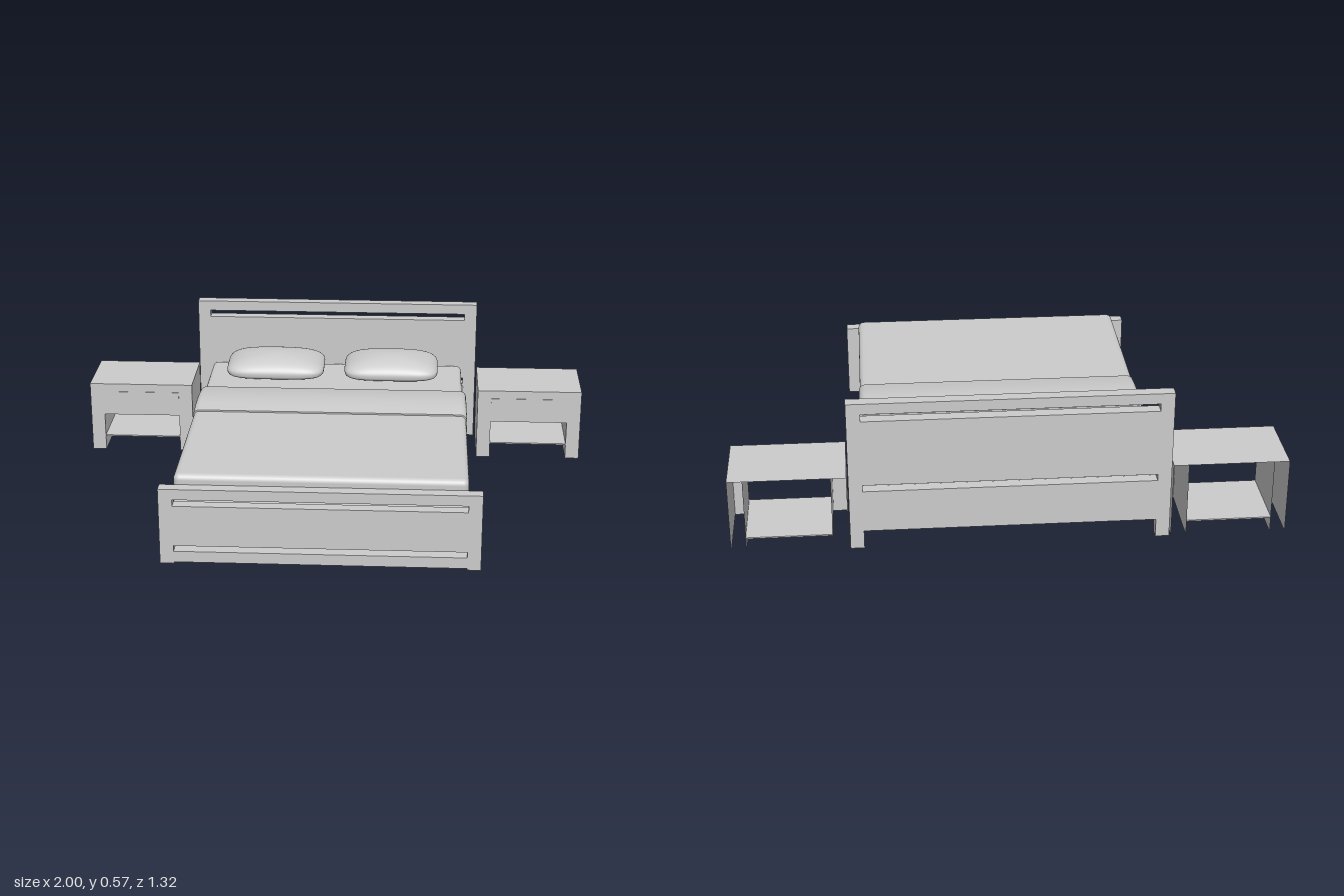
import * as THREE from 'three';
import { mergeVertices, toCreasedNormals } from 'three/addons/utils/BufferGeometryUtils.js';
import { RoundedBoxGeometry } from 'three/addons/geometries/RoundedBoxGeometry.js';

const material = new THREE.MeshStandardMaterial({ color: 0xcccccc });
const sheetMaterial = new THREE.MeshStandardMaterial({ color: 0xcccccc, side: THREE.DoubleSide });

function add(parent, name, geometry, mat = material) {
  const mesh = new THREE.Mesh(geometry, mat);
  mesh.name = name;
  parent.add(mesh);
  return mesh;
}

// Box given by its lower and upper limits on each axis, with optional rounding
function box(parent, name, [x0, x1], [y0, y1], [z0, z1], radius = 0) {
  const size = [x1 - x0, y1 - y0, z1 - z0];
  const geometry = radius
    ? new RoundedBoxGeometry(...size, 5, radius)
    : new THREE.BoxGeometry(...size);
  const mesh = add(parent, name, geometry);
  mesh.position.set((x0 + x1) / 2, (y0 + y1) / 2, (z0 + z1) / 2);
  return mesh;
}

// End board: two posts with horizontal boards separated by open slots
function endBoard(name, height, boards, z0, z1) {
  const group = new THREE.Group();
  group.name = name;
  box(group, 'leftPost', [0.525, 0.575], [0, height], [z0, z1]);
  box(group, 'rightPost', [-0.575, -0.525], [0, height], [z0, z1]);
  for (const [y0, y1, proud = 0] of boards) {
    box(group, 'board', [-0.525, 0.525], [y0, y1], [z0 - proud, z1]);
  }
  return group;
}

// Folded blanket band: rounded section run along z, with a gently arched top
function foldGeometry() {
  const w = 0.53, bottom = 0.222, top = 0.332, r = 0.03;
  const shape = new THREE.Shape();
  shape.moveTo(-w, bottom);
  shape.lineTo(w, bottom);
  shape.lineTo(w, top - r);
  shape.quadraticCurveTo(w, top, w - r, top);
  shape.lineTo(-w + r, top);
  shape.quadraticCurveTo(-w, top, -w, top - r);
  const length = 0.256;
  const geometry = new THREE.ExtrudeGeometry(shape, {
    depth: length, steps: 14, curveSegments: 8, bevelEnabled: false,
  });
  const p = geometry.attributes.position;
  for (let i = 0; i < p.count; i++) {
    const lift = 0.013 * Math.sin(Math.PI * p.getZ(i) / length);
    p.setY(i, p.getY(i) + lift * (p.getY(i) - bottom) / (top - bottom));
  }
  geometry.translate(0, 0, -length - 0.003);
  return toCreasedNormals(geometry, 0.7);
}

// Pillow: a sphere pushed out to a plump rounded rectangle, flatter underneath
function pillowGeometry(halfX, halfZ) {
  let geometry = new THREE.SphereGeometry(1, 64, 32);
  geometry.deleteAttribute('uv');
  geometry.deleteAttribute('normal');
  geometry = mergeVertices(geometry, 1e-5);
  const p = geometry.attributes.position;
  for (let i = 0; i < p.count; i++) {
    const x = p.getX(i), y = p.getY(i), z = p.getZ(i);
    const r = Math.hypot(x, z);
    const c = r > 1e-6 ? x / r : 1, s = r > 1e-6 ? z / r : 0;
    const square = Math.pow(Math.abs(c) ** 5 + Math.abs(s) ** 5, -0.2);
    const stretch = 1 + (square - 1) * r;
    const px = x * stretch * halfX, pz = z * stretch * halfZ;
    const py = y > 0 ? y * 0.056 : -0.036 * Math.pow(-y, 0.6);
    p.setXYZ(i, px, py - 0.04 * pz, pz);
  }
  geometry.computeVertexNormals();
  return geometry;
}

// Nightstand: open-backed shell with an arched front, hollow legs and a shelf
function nightstand() {
  const group = new THREE.Group();
  group.name = 'nightstand';
  const x = 0.209, inner = 0.154, h = 0.288, back = -0.138, front = 0.138;
  const depth = front - back;

  const face = new THREE.Shape();
  [[-x, 0], [-inner, 0], [-inner, 0.155], [inner, 0.155], [inner, 0], [x, 0], [x, h], [-x, h]]
    .forEach(([a, b], i) => (i ? face.lineTo(a, b) : face.moveTo(a, b)));
  const frontMesh = add(group, 'frontPanel', new THREE.ShapeGeometry(face), sheetMaterial);
  frontMesh.position.z = front;

  const top = add(group, 'top', new THREE.PlaneGeometry(x * 2, depth).rotateX(-Math.PI / 2), sheetMaterial);
  top.position.y = h;
  box(group, 'shelf', [-inner, inner], [0.057, 0.062], [back, front - 0.003]);
  for (const s of [-1, 1]) {
    for (const [name, at] of [['sidePanel', x], ['innerPanel', inner]]) {
      const sheet = add(group, name, new THREE.PlaneGeometry(depth, h).rotateY(s * Math.PI / 2), sheetMaterial);
      sheet.position.set(s * at, h / 2, 0);
    }
  }
  box(group, 'drawerFront', [-inner, inner], [0.19, 0.255], [front - 0.002, front + 0.002]);
  return group;
}

export function createModel() {
  const model = new THREE.Group();
  model.name = 'bedroomSet';

  // Frame
  model.add(endBoard('headboard', 0.575,
    [[0.535, 0.575], [0.256, 0.508, 0.002], [0.07, 0.23]], -0.657, -0.613));
  model.add(endBoard('footboard', 0.29,
    [[0.25, 0.29], [0.07, 0.225], [0.006, 0.048]], 0.614, 0.659));
  box(model, 'leftRail', [0.521, 0.526], [0.068, 0.221], [-0.613, 0.614]);
  box(model, 'rightRail', [-0.526, -0.521], [0.068, 0.221], [-0.613, 0.614]);
  box(model, 'bedBase', [-0.521, 0.521], [0.16, 0.221], [-0.613, 0.614]);

  // Bedding
  box(model, 'mattress', [-0.515, 0.515], [0.222, 0.316], [-0.603, 0.6], 0.018);
  box(model, 'duvet', [-0.526, 0.526], [0.222, 0.326], [-0.06, 0.613], 0.022);
  add(model, 'blanketFold', foldGeometry());

  // Pillows
  for (const [name, x, half, z] of [['rightPillow', -0.243, 0.198, -0.488], ['leftPillow', 0.228, 0.19, -0.491]]) {
    const pillow = add(model, name, pillowGeometry(half, 0.125));
    pillow.position.set(x, 0.35, z);
  }

  // Nightstands
  for (const s of [-1, 1]) {
    const stand = nightstand();
    stand.name = s > 0 ? 'leftNightstand' : 'rightNightstand';
    stand.position.set(s * 0.791, 0, -0.52);
    model.add(stand);
  }
  return model;
}
